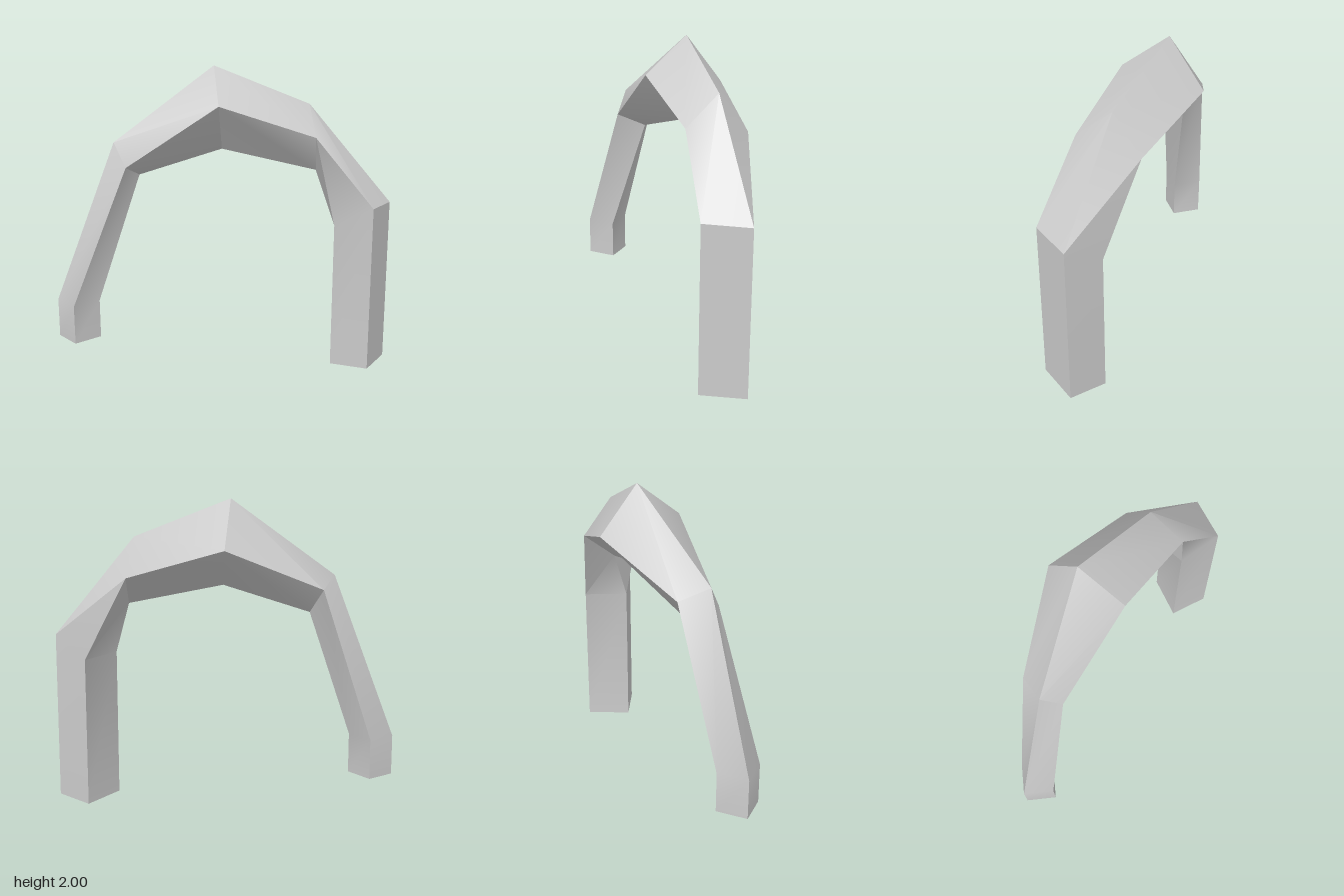
import * as THREE from 'three';
import { toCreasedNormals } from 'three/addons/utils/BufferGeometryUtils.js';

// Four-cornered cross-sections along the arch, from the short foot to the tall foot.
// Corner order in each: rear outer, front outer, front inner, rear inner.
const sections = [
  // short foot
  [[-0.74, 0.2, 0.67], [-0.74, 0.2, 0.87], [-0.54, 0.2, 0.87], [-0.54, 0.2, 0.67]],
  [[-0.74, 0.46, 0.67], [-0.74, 0.46, 0.87], [-0.54, 0.46, 0.87], [-0.54, 0.46, 0.67]],
  // right shoulder
  [[-0.61, 1.44, 0.36], [-0.52, 1.52, 0.53], [-0.39, 1.37, 0.53], [-0.48, 1.29, 0.36]],
  // peak
  [[-0.39, 1.69, -0.24], [-0.22, 2.0, -0.07], [0.03, 1.77, 0.1], [-0.14, 1.46, -0.07]],
  // left shoulder
  [[0.12, 1.51, -0.63], [0.25, 1.76, -0.49], [0.44, 1.575, -0.36], [0.31, 1.33, -0.5]],
  // tall leg
  [[0.395, 0.97, -0.785], [0.64, 1.115, -0.87], [0.74, 1.13, -0.59], [0.49, 0.985, -0.5]],
  [[0.395, 0, -0.785], [0.64, 0.02, -0.87], [0.74, 0.03, -0.59], [0.49, 0.01, -0.5]],
];

// Joins successive cross-sections with side walls and closes both ends
function loft(rings) {
  const positions = [];
  const quad = (a, b, c, d) => positions.push(...a, ...b, ...c, ...a, ...c, ...d);
  for (let i = 0; i < rings.length - 1; i++) {
    const r = rings[i], s = rings[i + 1];
    for (let j = 0; j < 4; j++) {
      const k = (j + 1) % 4;
      quad(r[j], r[k], s[k], s[j]);
    }
  }
  quad(...[...rings[0]].reverse());
  quad(...rings[rings.length - 1]);
  const geometry = new THREE.BufferGeometry();
  geometry.setAttribute('position', new THREE.Float32BufferAttribute(positions, 3));
  return toCreasedNormals(geometry, Math.PI / 6);
}

export function createModel() {
  const group = new THREE.Group();
  group.name = 'archway';
  const material = new THREE.MeshStandardMaterial({ color: 0xcccccc });
  // One continuous beam: short leg, arch and tall leg
  const beam = new THREE.Mesh(loft(sections), material);
  beam.name = 'archBeam';
  group.add(beam);
  return group;
}
